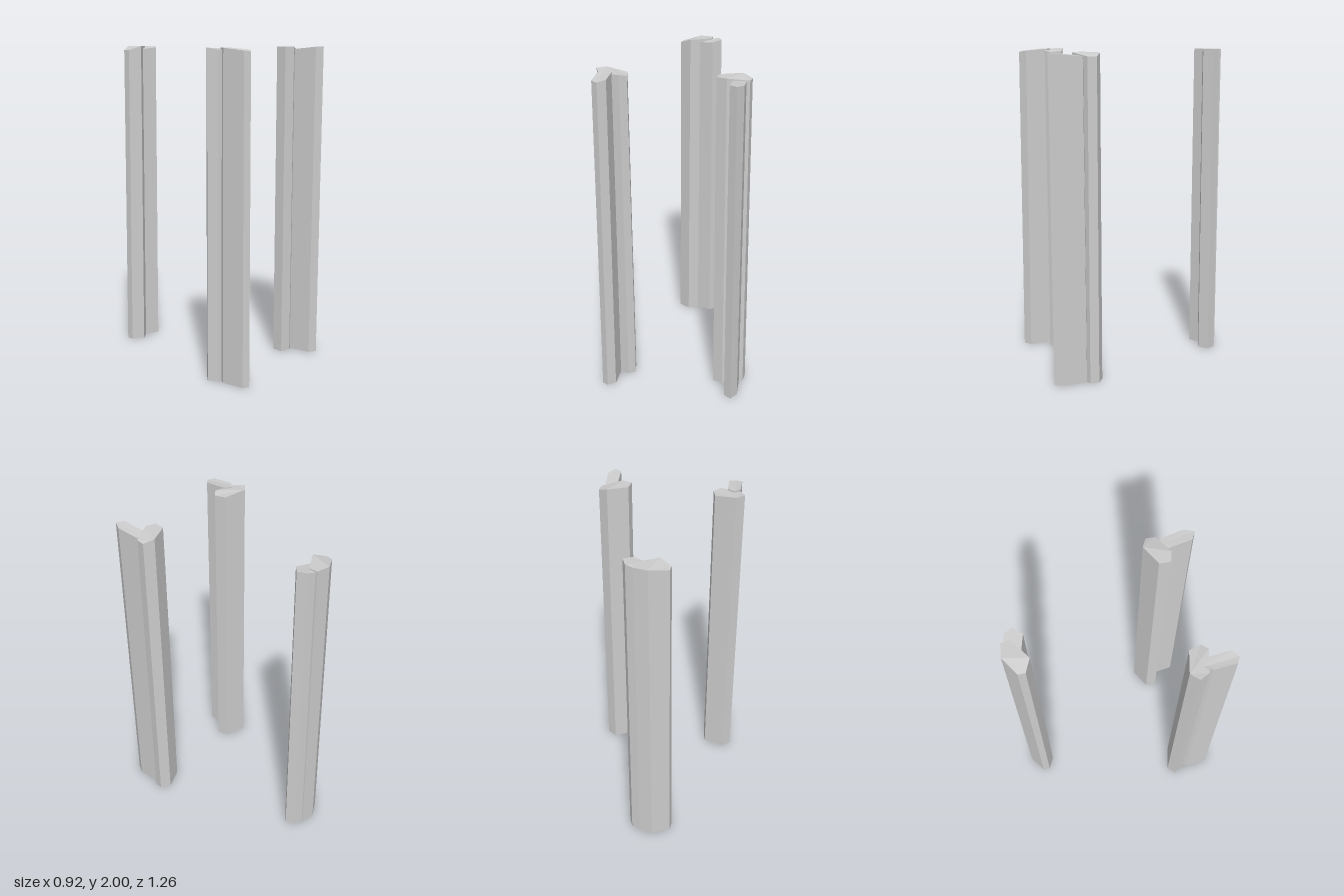
import * as THREE from 'three';

// One hewn post: a six-sided column, open underneath, with a slightly uneven top.
// Corners are [x, z, topHeight], clockwise seen from above; lean = [dx, dz] of the top.
function post(name, corners, lean, material) {
  const n = corners.length;
  const pos = [];
  const base = corners.map(([x, z]) => [x, 0, z]);
  const top = corners.map(([x, z, h]) => [x + lean[0], h, z + lean[1]]);
  const tri = (a, b, c) => pos.push(...a, ...b, ...c);
  for (let i = 0; i < n; i++) {
    const j = (i + 1) % n;
    tri(base[j], base[i], top[i]);
    tri(base[j], top[i], top[j]);
  }
  for (let i = 1; i < n - 1; i++) tri(top[0], top[i + 1], top[i]);
  const geometry = new THREE.BufferGeometry();
  geometry.setAttribute('position', new THREE.Float32BufferAttribute(pos, 3));
  geometry.computeVertexNormals();
  const mesh = new THREE.Mesh(geometry, material);
  mesh.name = name;
  return mesh;
}

export function createModel() {
  const stone = new THREE.MeshStandardMaterial({ color: 0xcccccc });
  stone.name = 'pale grey';
  stone.side = THREE.DoubleSide;
  stone.flatShading = true;

  const model = new THREE.Group();
  model.name = 'pillars';
  const pillar = (name, ...posts) => {
    const group = new THREE.Group();
    group.name = name;
    group.add(...posts);
    model.add(group);
  };

  // Back pillar: two posts crossing in a shallow V
  pillar('backPillar',
    post('backPostRight', [
      [-0.02, -0.63, 2], [0.065, -0.61, 2], [0.065, -0.555, 2],
      [-0.065, -0.48, 2], [-0.135, -0.525, 1.975], [-0.13, -0.57, 1.975],
    ], [0.008, -0.003], stone),
    post('backPostLeft', [
      [0.12, -0.58, 2], [0.143, -0.525, 2], [0.09, -0.48, 1.99],
      [-0.06, -0.54, 1.975], [-0.06, -0.59, 1.975], [0.02, -0.62, 1.98],
    ], [0.002, 0], stone));

  // Front pillars: a cross post behind and a narrow post pointing forward
  pillar('frontRightPillar',
    post('crossPostRight', [
      [-0.4, 0.31, 2], [-0.265, 0.355, 1.985], [-0.25, 0.43, 1.98],
      [-0.29, 0.46, 1.99], [-0.425, 0.415, 1.99], [-0.45, 0.352, 2],
    ], [-0.01, 0], stone),
    post('forwardPostRight', [
      [-0.393, 0.405, 2], [-0.347, 0.44, 2], [-0.345, 0.58, 1.99],
      [-0.39, 0.615, 1.98], [-0.427, 0.592, 1.985], [-0.427, 0.45, 2],
    ], [0, -0.008], stone));
  pillar('frontLeftPillar',
    post('crossPostLeft', [
      [0.4, 0.312, 2], [0.458, 0.35, 1.98], [0.45, 0.405, 1.98],
      [0.325, 0.46, 2], [0.263, 0.435, 2], [0.273, 0.367, 2],
    ], [-0.004, 0], stone),
    post('forwardPostLeft', [
      [0.395, 0.405, 1.98], [0.428, 0.42, 1.98], [0.435, 0.565, 1.995],
      [0.402, 0.62, 2], [0.357, 0.59, 2], [0.352, 0.44, 1.985],
    ], [0, 0.007], stone));
  return model;
}
